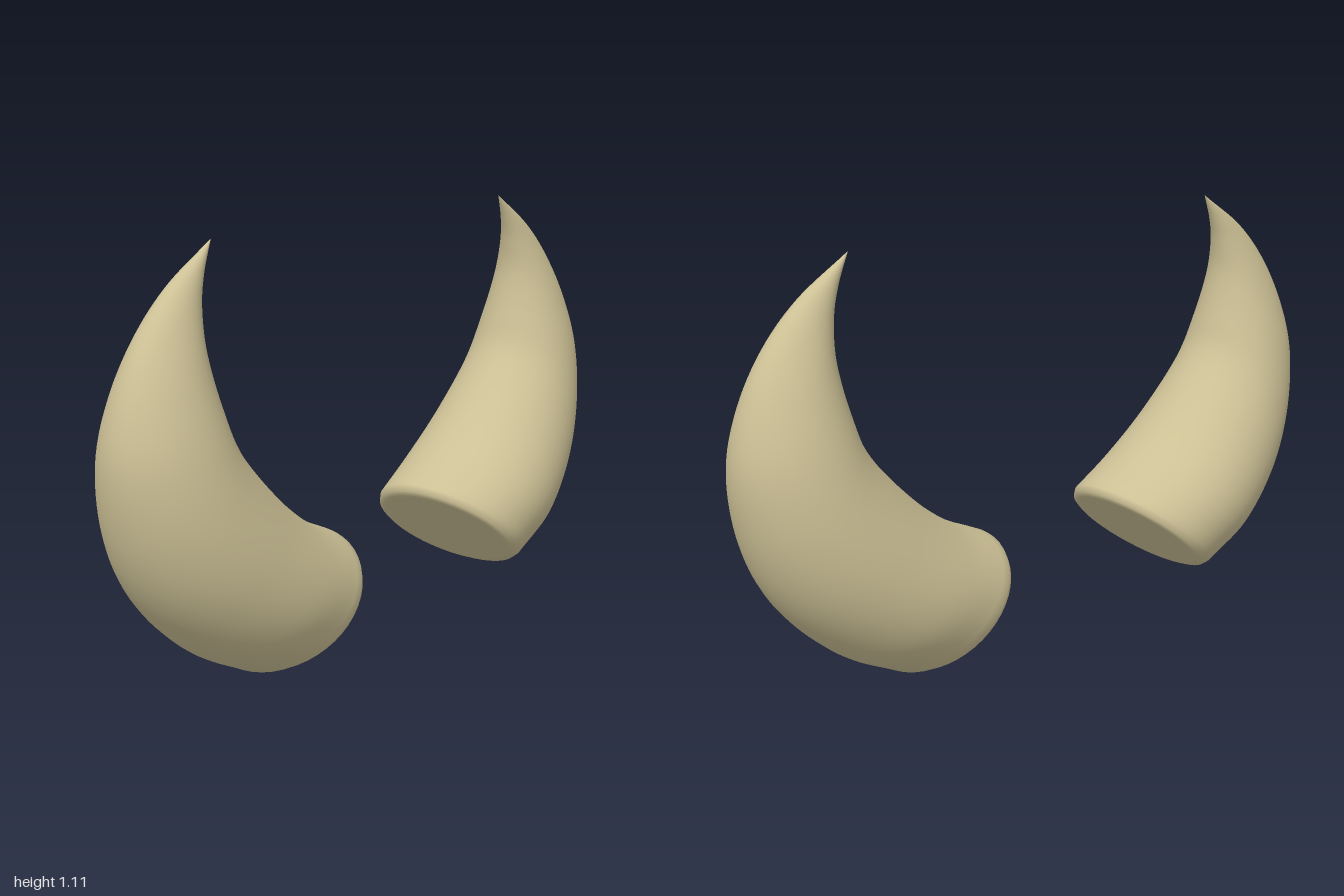
import * as THREE from 'three';

const SIDES = 48, STEPS = 56;

// Cross-sections: inner edge x,y, outer edge x,y, half depth in z
const BASE = [
  [0.382, 0.140, 0.382, 0.140, 0],        // centre of the flat end
  [0.252, 0.260, 0.511, 0.020, 0.193],
  [0.243, 0.268, 0.520, 0.012, 0.205],
  [0.231, 0.285, 0.545, 0.002, 0.218],    // rounded rim
];
const BODY = [
  [0.240, 0.303, 0.570, 0.006, 0.227],
  [0.385, 0.374, 0.730, 0.096, 0.239],
  [0.520, 0.480, 0.877, 0.240, 0.220],
  [0.650, 0.625, 0.963, 0.400, 0.185],
  [0.695, 0.740, 1.000, 0.588, 0.148],
  [0.720, 0.870, 0.980, 0.740, 0.103],
  [0.712, 0.965, 0.915, 0.885, 0.062],
  [0.690, 1.035, 0.810, 1.005, 0.031],
  [0.655, 1.108, 0.656, 1.108, 0.001],
];

function hornGeometry() {
  // Smooth the two edges and the depth along the body
  const spline = (f) => new THREE.CatmullRomCurve3(BODY.map(f), false, 'catmullrom', 0.5);
  const inner = spline((r) => new THREE.Vector3(r[0], r[1], 0));
  const outer = spline((r) => new THREE.Vector3(r[2], r[3], r[4]));
  const rows = [...BASE];
  for (let i = 0; i <= STEPS; i++) {
    const a = inner.getPoint(i / STEPS), b = outer.getPoint(i / STEPS);
    rows.push([a.x, a.y, b.x, b.y, b.z]);
  }

  // Elliptical ring for each section, joined into one closed skin
  const positions = [], index = [];
  rows.forEach(([ax, ay, bx, by, w], i) => {
    for (let j = 0; j < SIDES; j++) {
      const t = (j / SIDES) * Math.PI * 2, c = Math.cos(t) / 2;
      positions.push((ax + bx) / 2 + (bx - ax) * c, (ay + by) / 2 + (by - ay) * c, w * Math.sin(t));
      if (i === rows.length - 1) continue;
      const k = (j + 1) % SIDES, p = i * SIDES, q = p + SIDES;
      index.push(p + j, q + j, q + k);
      if (i > 0) index.push(p + j, q + k, p + k);
    }
  });
  const geometry = new THREE.BufferGeometry();
  geometry.setAttribute('position', new THREE.Float32BufferAttribute(positions, 3));
  geometry.setIndex(index);
  geometry.computeVertexNormals();
  return geometry;
}

export function createModel() {
  const group = new THREE.Group();
  group.name = 'hornPair';
  const bone = new THREE.MeshStandardMaterial({ color: 0xccc095 });
  bone.name = 'bone';
  const geometry = hornGeometry();

  // The horn is symmetric in z, so a half turn gives its mirror image
  for (const [name, turn] of [['leftHorn', 0], ['rightHorn', Math.PI]]) {
    const horn = new THREE.Mesh(geometry, bone);
    horn.name = name;
    horn.rotation.y = turn;
    group.add(horn);
  }
  return group;
}
